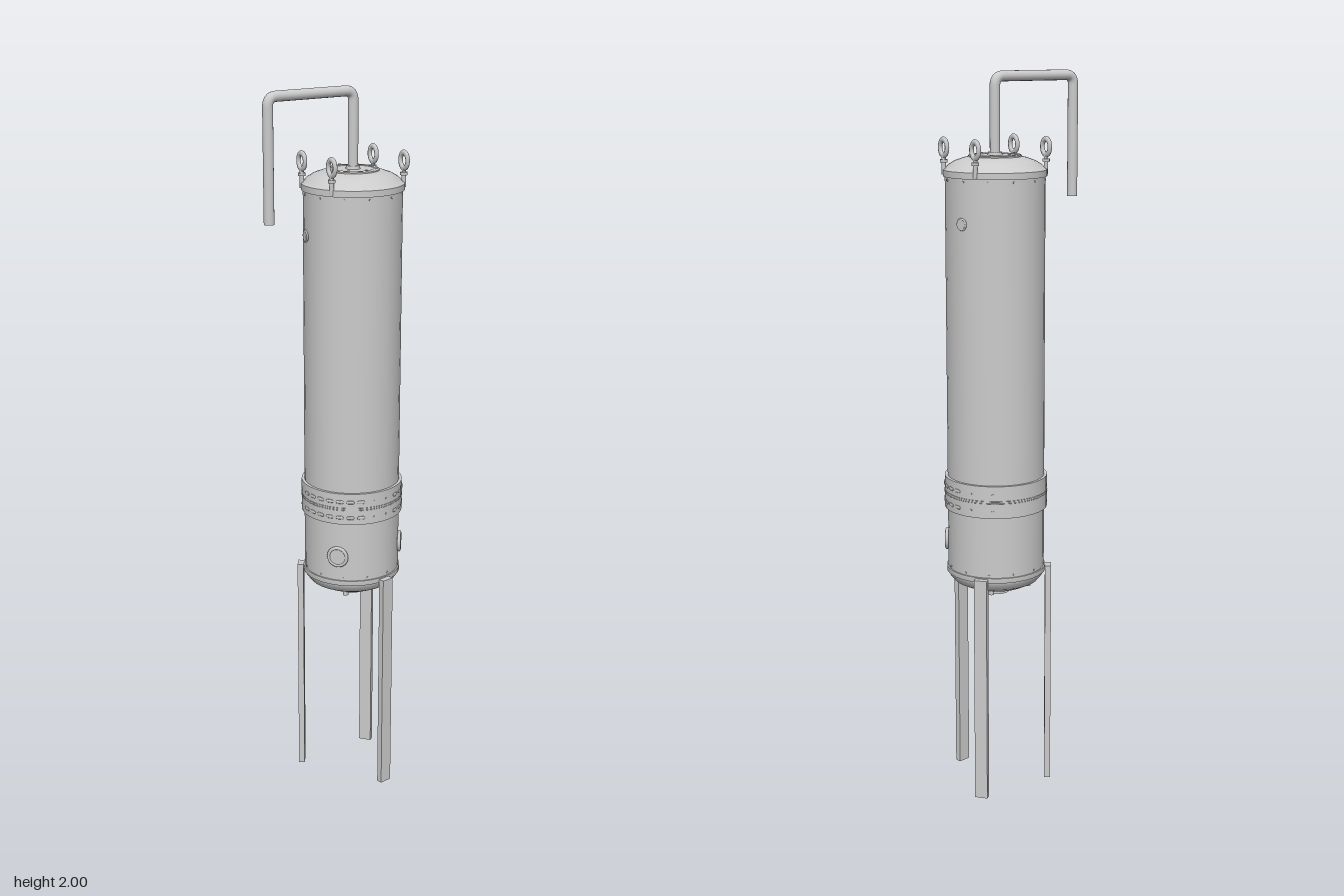
import * as THREE from 'three';
import { toCreasedNormals } from 'three/addons/utils/BufferGeometryUtils.js';

const CX = 0.067, CZ = -0.008; // tank axis
const mat = new THREE.MeshStandardMaterial({ color: 0xcccccc, side: THREE.DoubleSide });

function add(parent, name, geo, x = 0, y = 0, z = 0) {
  const m = new THREE.Mesh(geo, mat);
  m.name = name;
  m.position.set(x, y, z);
  parent.add(m);
  return m;
}

function lathe(points, segments = 36) {
  const pts = points.map(([r, y]) => new THREE.Vector2(r, y));
  return toCreasedNormals(new THREE.LatheGeometry(pts, segments), 0.6);
}

// Empty holder on the tank wall; its local +z points outward. Angle 0 is the front.
function onWall(parent, name, degrees, radius, y) {
  const a = THREE.MathUtils.degToRad(degrees);
  const g = new THREE.Group();
  g.name = name;
  g.position.set(Math.sin(a) * radius, y, Math.cos(a) * radius);
  g.rotation.y = a;
  parent.add(g);
  return g;
}

// Round disc with its axis along z
const disc = (r, depth, n = 20) => new THREE.CylinderGeometry(r, r, depth, n).rotateX(Math.PI / 2);

export function createModel() {
  const model = new THREE.Group();
  model.name = 'tankOnLegs';
  const tank = new THREE.Group();
  tank.name = 'tank';
  tank.position.set(CX, 0, CZ);
  model.add(tank);

  // Shell with domed ends and end rims
  add(tank, 'shell', lathe([
    [0, 0.583], [0.055, 0.585], [0.09, 0.594], [0.118, 0.608], [0.131, 0.624], [0.134, 0.634],
    [0.138, 0.634], [0.138, 0.648], [0.134, 0.648], [0.134, 1.728], [0.139, 1.728], [0.139, 1.745],
    [0.134, 1.747], [0.126, 1.757], [0.108, 1.768], [0.085, 1.776], [0.07, 1.779], [0, 1.779],
  ]));

  // Wide clamp band
  add(tank, 'band', lathe([
    [0.133, 0.82], [0.142, 0.82], [0.142, 0.91], [0.133, 0.91],
  ]));
  for (const y of [0.862, 0.868])
    add(tank, 'bandSeam', new THREE.TorusGeometry(0.142, 0.001, 4, 36).rotateX(Math.PI / 2), 0, y, 0);

  // Two rows of oblong slots on each flank of the band, then single studs
  const slot = new THREE.CapsuleGeometry(0.005, 0.012, 3, 8).rotateZ(Math.PI / 2).scale(1, 1, 0.4);
  for (const side of [-1, 1])
    for (const y of [0.84, 0.886]) {
      for (let i = 0; i < 7; i++)
        add(onWall(tank, 'bandSlot', side * (24 + i * 12), 0.142, y), 'slot', slot);
      for (const a of [8, 115, 140])
        add(onWall(tank, 'bandStud', side * a, 0.142, y), 'stud', disc(0.003, 0.003, 8));
    }

  // Top cover plate with its bolt circle
  add(tank, 'coverPlate', lathe([
    [0.071, 1.774], [0.071, 1.782], [0.068, 1.784], [0.057, 1.784], [0.056, 1.782], [0, 1.782],
  ]));
  for (let i = 0; i < 8; i++) {
    const a = i * Math.PI / 4;
    add(tank, 'coverBolt', new THREE.CylinderGeometry(0.004, 0.004, 0.003, 6),
      Math.cos(a) * 0.063, 1.785, Math.sin(a) * 0.063);
  }

  // Rim bolts below the top rim and above the bottom rim
  for (let i = 0; i < 12; i++)
    for (const y of [1.72, 0.655])
      add(onWall(tank, 'rimBolt', i * 30 + 15, 0.134, y), 'bolt', disc(0.003, 0.003, 6));

  // Bottom outlet ring and small studs around it
  add(tank, 'outlet', lathe([
    [0.022, 0.584], [0.022, 0.568], [0.037, 0.568], [0.037, 0.586],
  ], 24));
  for (let i = 0; i < 4; i++) {
    const a = Math.PI / 4 + i * Math.PI / 2;
    add(tank, 'bottomStud', new THREE.CylinderGeometry(0.008, 0.008, 0.012, 10),
      Math.cos(a) * 0.09, 0.592, Math.sin(a) * 0.09);
  }

  // Lower access ports and upper small fittings, mirrored
  for (const side of [-1, 1]) {
    const port = onWall(tank, 'accessPort', side * 51, 0.134, 0.72);
    add(port, 'portRing', new THREE.TorusGeometry(0.026, 0.005, 8, 24), 0, 0, 0.003);
    add(port, 'portCover', disc(0.024, 0.012));
    const fitting = onWall(tank, 'upperFitting', side * 103, 0.134, 1.61);
    add(fitting, 'fittingRing', new THREE.TorusGeometry(0.014, 0.003, 6, 18), 0, 0, 0.001);
    add(fitting, 'fittingPlug', disc(0.013, 0.008, 16));
  }

  // Lifting eyes: upright oval rings on short stems
  for (const x of [-0.116, 0.116])
    for (const z of [-0.071, 0.071]) {
      const eye = new THREE.Group();
      eye.name = 'liftingEye';
      eye.position.set(x, 0, z);
      tank.add(eye);
      add(eye, 'eyeRing', new THREE.TorusGeometry(0.016, 0.006, 8, 24)
        .scale(1, 1.3, 1).rotateY(Math.PI / 2), 0, 1.803, 0);
      add(eye, 'eyeStem', new THREE.CylinderGeometry(0.006, 0.006, 0.05, 10), 0, 1.757, 0);
      add(eye, 'eyeCollar', new THREE.CylinderGeometry(0.01, 0.01, 0.008, 12), 0, 1.768, 0);
    }

  // Three flat bar legs
  const LEG_TOP = 0.645;
  for (const [deg, r] of [[7, 0.147], [127, 0.146], [-127, 0.146]])
    add(onWall(tank, 'leg', deg, r, LEG_TOP / 2), 'legBar',
      new THREE.BoxGeometry(0.036, LEG_TOP, 0.017));

  // Bent pipe: up from the cover, across, and down with an open end
  const R = 0.014, top = 2 - R, xa = CX, xb = -0.197, b = 0.025;
  const v = (x, y) => new THREE.Vector3(x, y, CZ);
  const path = new THREE.CurvePath();
  path.add(new THREE.LineCurve3(v(xa, 1.775), v(xa, top - b)));
  path.add(new THREE.QuadraticBezierCurve3(v(xa, top - b), v(xa, top), v(xa - b, top)));
  path.add(new THREE.LineCurve3(v(xa - b, top), v(xb + b, top)));
  path.add(new THREE.QuadraticBezierCurve3(v(xb + b, top), v(xb, top), v(xb, top - b)));
  path.add(new THREE.LineCurve3(v(xb, top - b), v(xb, 1.66)));
  add(model, 'pipe', new THREE.TubeGeometry(path, 140, R, 16));
  add(model, 'pipeEnd', new THREE.CircleGeometry(R, 16).rotateX(Math.PI / 2), xb, 1.661, CZ);
  add(model, 'pipeCollar', new THREE.CylinderGeometry(0.018, 0.02, 0.01, 20), xa, 1.786, CZ);

  return model;
}
